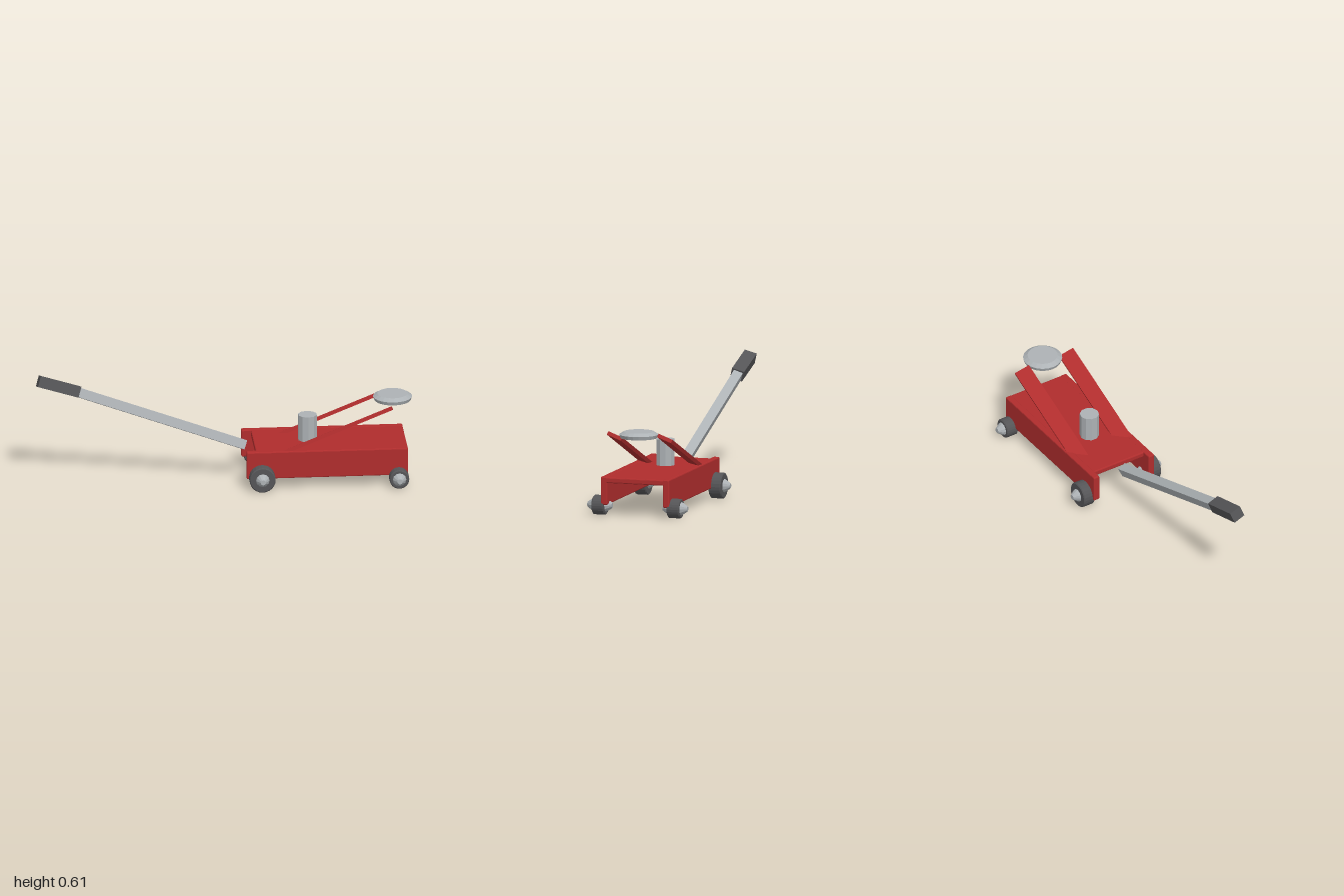
import * as THREE from 'three';
import { RoundedBoxGeometry } from 'three/addons/geometries/RoundedBoxGeometry.js';

const mat = (name, color) => new THREE.MeshStandardMaterial({ name, color, flatShading: true });

export function createModel() {
  const red = mat('red paint', 0xb02d2d);
  const steel = mat('steel', 0xadb2b5);
  const rubber = mat('dark rubber', 0x555557);
  const model = new THREE.Group();
  model.name = 'floorJack';

  const add = (name, geometry, material, x, y, z, rx = 0, rz = 0) => {
    const mesh = new THREE.Mesh(geometry, material);
    mesh.name = name;
    mesh.position.set(x, y, z);
    // Pitch about z after rolling about the part's own long axis
    mesh.quaternion.setFromEuler(new THREE.Euler(rx, 0, rz, 'ZYX'));
    model.add(mesh);
    return mesh;
  };
  const lathe = (points, sides) =>
    new THREE.LatheGeometry(points.map(([r, y]) => new THREE.Vector2(r, y)), sides);
  const chamferBox = (w, h, d) => new RoundedBoxGeometry(w, h, d, 1, 0.006);

  // Chassis: top plate between two longer side plates
  add('topPlate', chamferBox(0.805, 0.03, 0.372), red, 0.5575, 0.192, 0);
  for (const s of [1, -1]) {
    add('sidePlate', chamferBox(0.855, 0.15, 0.036), red, 0.5325, 0.134, s * 0.173);
  }

  // Lifting arms, both rolled the same way
  for (const s of [1, -1]) {
    add('liftArm', new THREE.BoxGeometry(0.655, 0.02, 0.086), red, 0.575, 0.295, s * 0.1395, -0.35, 0.385);
  }

  // Saddle disc at the end of the arms
  const saddle = [[0, 0.417], [0.097, 0.417], [0.104, 0.436], [0.08, 0.451], [0, 0.451]];
  add('saddle', lathe(saddle, 20), steel, 0.893, 0, 0);

  // Hydraulic ram through the top plate
  add('ram', new THREE.CylinderGeometry(0.051, 0.051, 0.205, 10), steel, 0.442, 0.2435, 0);

  // Handle and grip
  add('handle', new THREE.BoxGeometry(0.96, 0.05, 0.05), steel, -0.34, 0.349, 0, -0.35, -0.35);
  add('grip', new THREE.BoxGeometry(0.225, 0.06, 0.068), rubber, -0.877, 0.543, 0.001, -0.3, -0.3);

  // Wheels with tapered hubs showing on both sides
  const addWheel = (x, r, s) => {
    const h = 0.034;
    const c = 0.005;
    const tyre = [[0, -h], [r - c, -h], [r, c - h], [r, h - c], [r - c, h], [0, h]];
    const hub = [[0, -0.068], [0.014, -0.068], [0.03, -0.045], [0.038, -0.03],
      [0.038, 0.03], [0.03, 0.045], [0.014, 0.068], [0, 0.068]];
    add('wheel', lathe(tyre, 24), rubber, x, r, s * 0.209, Math.PI / 2);
    add('wheelHub', lathe(hub, 12), steel, x, r, s * 0.209, Math.PI / 2);
  };
  for (const s of [1, -1]) {
    addWheel(0.185, 0.069, s);
    addWheel(0.91, 0.052, s);
  }

  return model;
}
